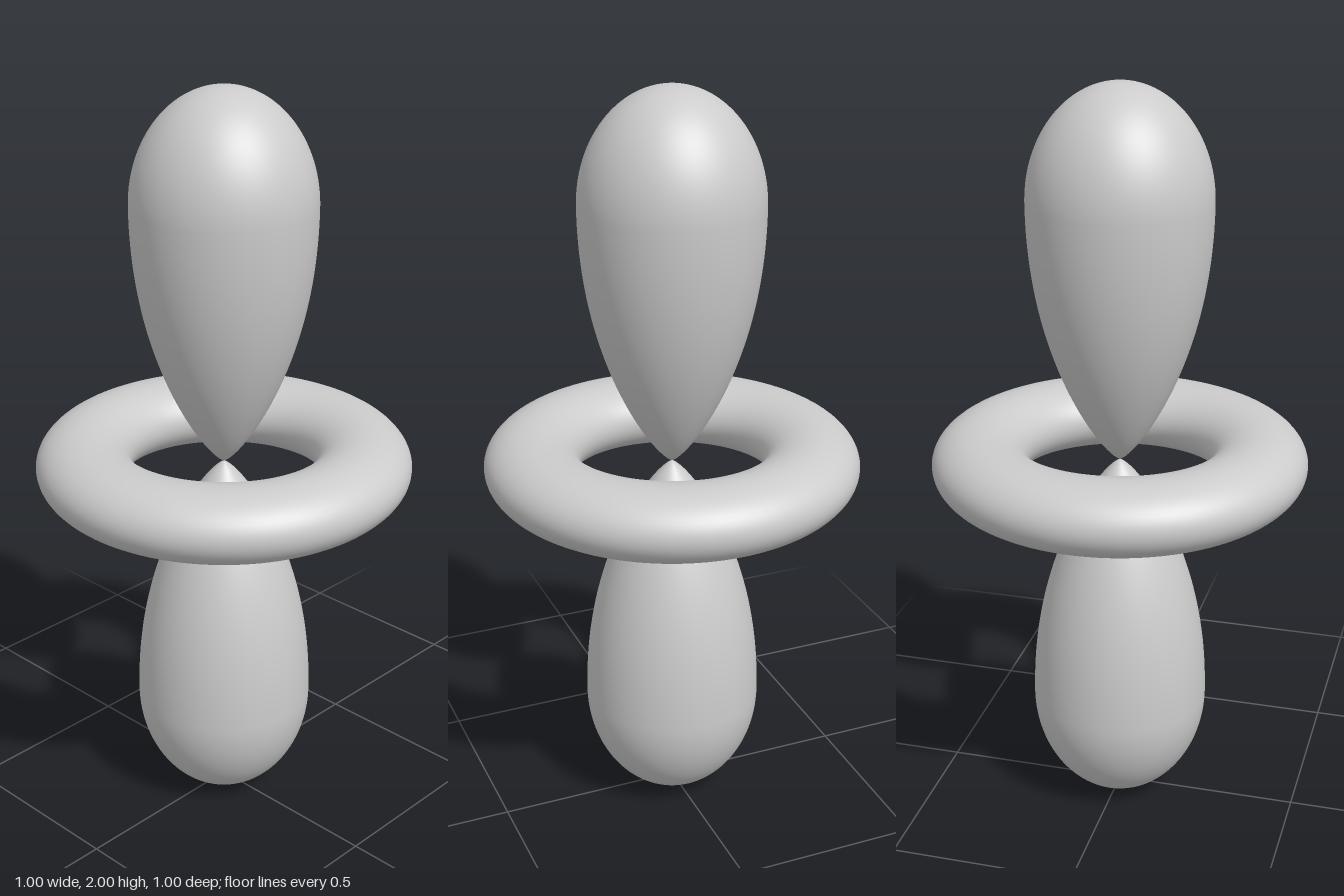
import * as THREE from 'three';

const material = new THREE.MeshStandardMaterial({ color: 0xcccccc });

// Teardrop lobe: tip at the origin, rounded end at y = 1
function lobeGeometry() {
  const radius = 0.24, waist = 0.7, steps = 40;
  const profile = [];
  // Tapering part, from the tip to the widest point
  for (let i = 0; i < steps; i++) {
    const t = (i / steps) ** 1.5;
    profile.push(new THREE.Vector2(radius * Math.sin(Math.PI / 2 * t ** 0.75), waist * t));
  }
  // Elliptical cap
  for (let i = 0; i <= steps; i++) {
    const a = Math.PI / 2 * i / steps;
    profile.push(new THREE.Vector2(i === steps ? 0 : radius * Math.cos(a), waist + (1 - waist) * Math.sin(a)));
  }
  return new THREE.LatheGeometry(profile, 96);
}

// Ring with an elliptical section, wider than tall
function ringGeometry() {
  const centre = 0.373, halfWidth = 0.127, halfHeight = 0.095;
  const geometry = new THREE.TorusGeometry(centre, halfWidth, 48, 128);
  geometry.rotateX(-Math.PI / 2);
  geometry.scale(1, halfHeight / halfWidth, 1);
  return geometry;
}

export function createModel() {
  const group = new THREE.Group();
  group.name = 'lobesAndRing';

  const add = (name, geometry) => {
    const mesh = new THREE.Mesh(geometry, material);
    mesh.name = name;
    mesh.position.y = 1;
    group.add(mesh);
    return mesh;
  };

  // Two lobes meeting tip to tip, with the ring around the middle
  const lobe = lobeGeometry();
  add('upperLobe', lobe);
  add('lowerLobe', lobe).rotation.x = Math.PI;
  add('ring', ringGeometry());

  return group;
}
